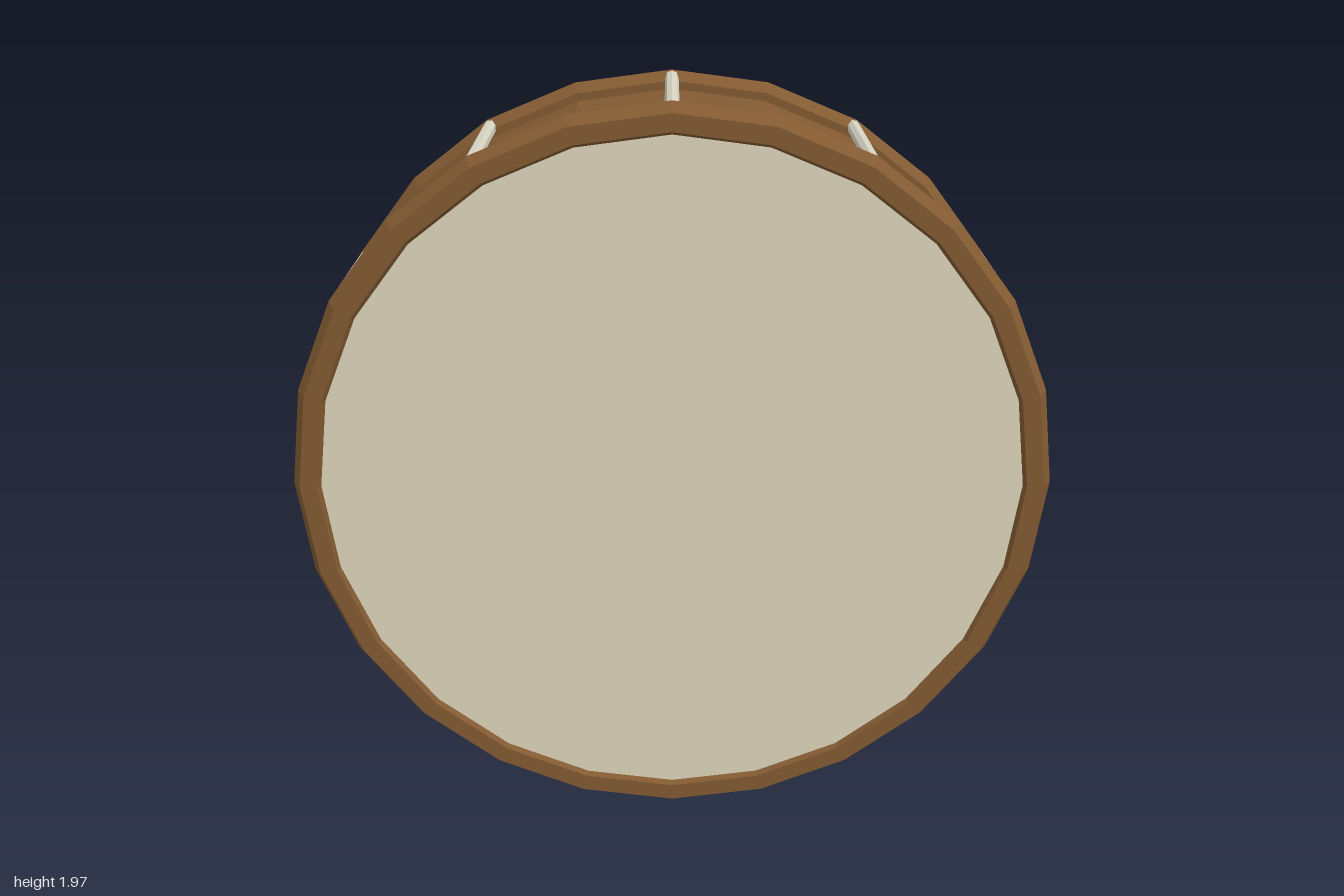
import * as THREE from 'three';

export function createModel() {
  const mat = (name, color) => {
    const m = new THREE.MeshStandardMaterial({ color, flatShading: true });
    m.name = name;
    return m;
  };
  const wood = mat('brown wood', 0x825a32);
  const skin = mat('cream skin', 0xddd5ba);
  const metal = mat('pale metal', 0xd6d2c2);

  const SIDES = 24;
  const HOOP_Z = 0.226;
  const root = new THREE.Group();
  root.name = 'drum';

  // The drum stands on its rim, turned slightly about the vertical
  const drum = new THREE.Group();
  drum.name = 'drumBody';
  drum.position.y = 0.983;
  drum.rotation.y = -0.098;
  root.add(drum);

  const add = (name, geometry, material) => {
    const mesh = new THREE.Mesh(geometry, material);
    mesh.name = name;
    drum.add(mesh);
    return mesh;
  };

  // Round wooden shell, axis along z
  const shell = new THREE.CylinderGeometry(0.94, 0.94, HOOP_Z * 2, SIDES, 1, true).rotateX(Math.PI / 2);
  add('shell', shell, wood);

  // Six-sided hoop and taut skin at each end
  for (const [end, s] of [['front', 1], ['back', -1]]) {
    add(end + 'Hoop', new THREE.TorusGeometry(0.938, 0.045, 6, SIDES), wood).position.z = s * HOOP_Z;
    const head = add(end + 'Head', new THREE.CircleGeometry(0.914, SIDES), skin);
    head.position.z = s * 0.251;
    if (s < 0) head.rotation.y = Math.PI;
  }

  // Twelve tension rods around the shell
  const rod = new THREE.CylinderGeometry(0.018, 0.018, 0.434, 8).rotateX(Math.PI / 2);
  for (let i = 0; i < 12; i++) {
    const a = (i / 12) * Math.PI * 2;
    const mesh = add('tensionRod' + (i + 1), rod, metal);
    mesh.position.set(Math.cos(a) * 0.964, Math.sin(a) * 0.964, 0);
    mesh.rotation.z = a;
  }
  return root;
}
